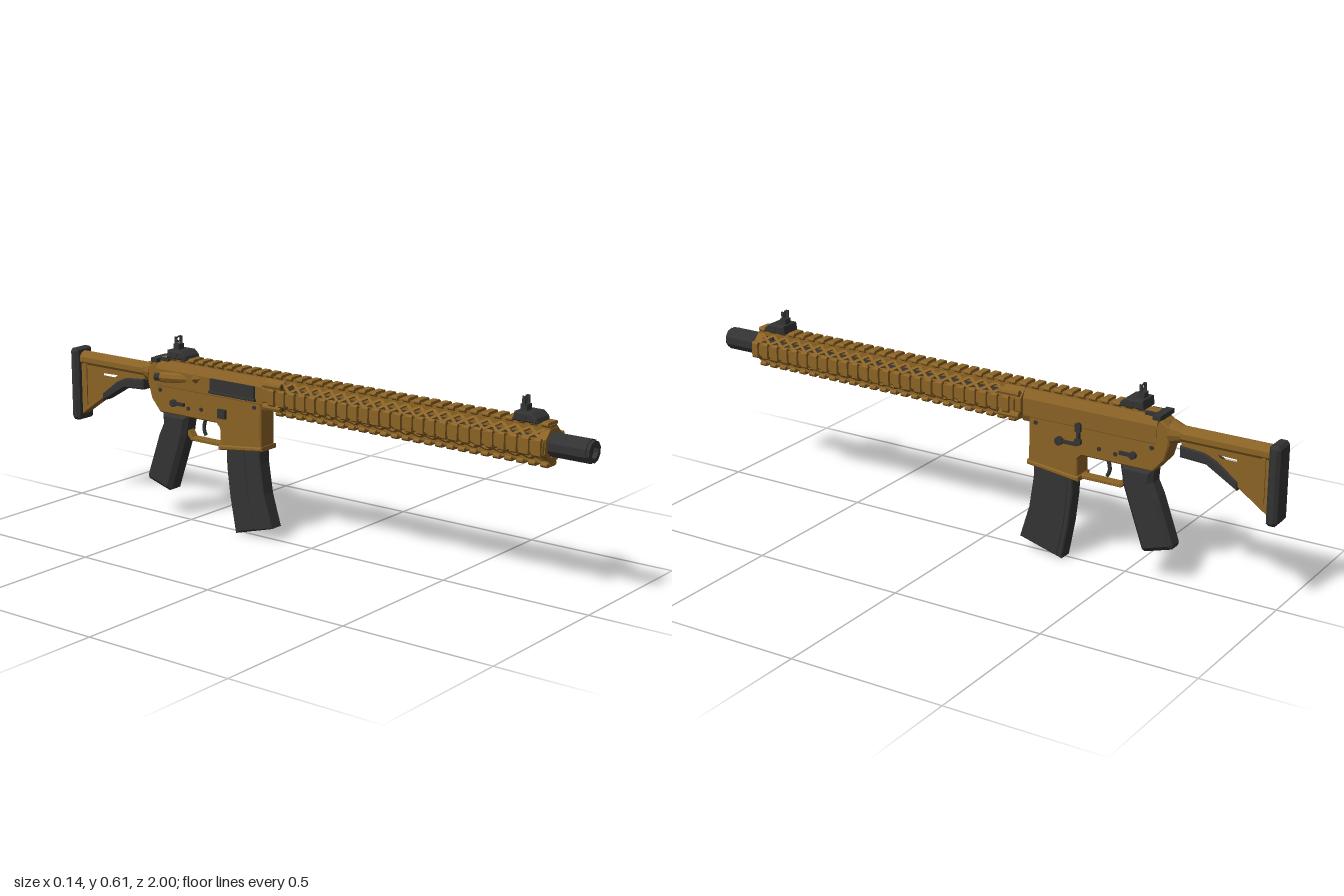
import * as THREE from 'three';
import { mergeGeometries } from 'three/addons/utils/BufferGeometryUtils.js';

const tan = new THREE.MeshStandardMaterial({ color: 0x8a6225, flatShading: true });
const dark = new THREE.MeshStandardMaterial({ color: 0x333333, flatShading: true });
const AXIS = 0.485; // height of the bore line

export function createModel() {
  const model = new THREE.Group();
  const add = (name, geo, mat, x = 0, y = 0, z = 0, parent = model) => {
    const m = new THREE.Mesh(geo, mat);
    m.name = name;
    m.position.set(x, y, z);
    parent.add(m);
    return m;
  };
  const box = (w, h, d) => new THREE.BoxGeometry(w, h, d);
  const outline = pts => pts.map(([a, b]) => new THREE.Vector2(a, b));

  // Side profile given as [z, y], extruded across x
  const side = (pts, width, bevel = 0.004, hole) => {
    const flip = p => outline(p.map(([z, y]) => [-z, y]));
    const s = new THREE.Shape(flip(pts));
    if (hole) s.holes.push(new THREE.Path(flip(hole)));
    const g = new THREE.ExtrudeGeometry(s, {
      depth: width - 2 * bevel, bevelEnabled: bevel > 0, bevelSize: bevel,
      bevelThickness: bevel, bevelOffset: -bevel, bevelSegments: 1, curveSegments: 8,
    });
    return g.translate(0, 0, -width / 2 + bevel).rotateY(Math.PI / 2);
  };
  // Cross-section given as [x, y], extruded from z0 to z1
  const along = (pts, z0, z1, hole) => {
    const s = new THREE.Shape(outline(pts));
    if (hole) s.holes.push(new THREE.Path(outline(hole)));
    return new THREE.ExtrudeGeometry(s, { depth: z1 - z0, bevelEnabled: false }).translate(0, 0, z0);
  };
  const ring = (r, n) => Array.from({ length: n }, (_, i) => {
    const a = (i + 0.5) * 2 * Math.PI / n;
    return [r * Math.cos(a), r * Math.sin(a)];
  });
  const rodZ = (r0, r1, z0, z1, n = 12) =>
    new THREE.CylinderGeometry(r1, r0, z1 - z0, n).rotateX(Math.PI / 2).translate(0, 0, (z0 + z1) / 2);
  const rodX = (r, len, n = 10) => new THREE.CylinderGeometry(r, r, len, n).rotateZ(Math.PI / 2);
  const beam = (p, q, w, t) => {
    const a = new THREE.Vector3(...p), b = new THREE.Vector3(...q);
    const o = new THREE.Object3D();
    o.position.copy(a).add(b).multiplyScalar(0.5);
    o.up.set(a.x + b.x, a.y + b.y, 0).normalize();
    o.lookAt(b);
    o.updateMatrix();
    return box(w, t, a.distanceTo(b)).applyMatrix4(o.matrix);
  };

  // Barrel and muzzle device with a recessed bore
  add('barrel', rodZ(0.02, 0.02, -0.15, 0.9), dark, 0, AXIS);
  add('muzzle', along(ring(0.037, 10), 0.85, 0.99, ring(0.02, 10)), dark, 0, AXIS);
  add('muzzleRim', along(ring(0.033, 10), 0.99, 1.0, ring(0.02, 10)), dark, 0, AXIS);
  add('boreFloor', rodZ(0.021, 0.021, 0.9, 0.985), dark, 0, AXIS);

  // Handguard: four rail beds, toothed rails, crossed struts on the diagonals
  const handguard = new THREE.Group();
  handguard.name = 'handguard';
  handguard.position.y = AXIS;
  model.add(handguard);
  const tooth = [[-0.018, 0.044], [0.018, 0.044], [0.018, 0.05], [0.027, 0.057], [0.027, 0.061],
    [0.022, 0.066], [-0.022, 0.066], [-0.027, 0.061], [-0.027, 0.057], [-0.018, 0.05]];
  const beds = [], teeth = [], struts = [];
  const pitch = 0.04;
  for (let k = 0; k < 4; k++) {
    const turn = k * Math.PI / 2;
    beds.push(box(0.044, 0.012, 1.0).translate(0, 0.045, 0.365).rotateZ(turn));
    beds.push(box(0.034, 0.008, 1.0).translate(0, 0.053, 0.365).rotateZ(turn));
    for (let i = 0; i < 25; i++) {
      const z = 0.84 - i * pitch;
      teeth.push(along(tooth, z, z + 0.022).rotateZ(turn));
    }
  }
  for (const sx of [-1, 1]) for (const sy of [-1, 1]) for (let i = 0; i < 20; i++) {
    const z = -0.1 + i * 0.0475;
    const A = [sx * 0.02, sy * 0.045], B = [sx * 0.045, sy * 0.02];
    struts.push(beam([...A, z], [...B, z + 0.0475], 0.009, 0.006));
    struts.push(beam([...B, z], [...A, z + 0.0475], 0.009, 0.006));
  }
  add('railBeds', mergeGeometries(beds), tan, 0, 0, 0, handguard);
  add('railTeeth', mergeGeometries(teeth), tan, 0, 0, 0, handguard);
  add('latticeStruts', mergeGeometries(struts), tan, 0, 0, 0, handguard);
  add('frontRing', along(ring(0.052, 8), 0.84, 0.868, ring(0.039, 8)), tan, 0, 0, 0, handguard);
  add('rearCollar', along(ring(0.054, 8), -0.155, -0.085, ring(0.024, 8)), tan, 0, 0, 0, handguard);
  for (const sx of [-1, 1]) for (const sy of [-1, 1]) {
    add('clampBoss', rodZ(0.011, 0.011, -0.15, -0.08, 8), tan, sx * 0.047, sy * 0.035, 0, handguard);
    add('clampScrew', rodZ(0.005, 0.005, -0.08, -0.076, 6), dark, sx * 0.047, sy * 0.035, 0, handguard);
  }

  // Upper receiver with its own stretch of top rail
  const upper = [[-0.026, 0.43], [0.026, 0.43], [0.035, 0.45], [0.036, 0.505], [0.024, 0.532],
    [-0.024, 0.532], [-0.036, 0.505], [-0.035, 0.45]];
  add('upperReceiver', along(upper, -0.61, -0.15), tan);
  const topTeeth = [];
  for (let z = -0.16; z > -0.6; z -= pitch) topTeeth.push(along(tooth, z, z + 0.022));
  add('receiverRailTeeth', mergeGeometries(topTeeth), tan, 0, AXIS);
  add('receiverRailBed', box(0.034, 0.03, 0.46), tan, 0, 0.527, -0.37);
  add('ejectionPortCover', box(0.012, 0.04, 0.18), dark, -0.038, 0.485, -0.285);
  add('coverHinge', rodZ(0.005, 0.005, -0.38, -0.19, 6), dark, -0.042, 0.461);
  add('caseDeflector', new THREE.CylinderGeometry(0.004, 0.022, 0.025, 4).rotateZ(Math.PI / 2),
    tan, -0.042, 0.495, -0.44);
  const assist = new THREE.Group();
  assist.name = 'forwardAssist';
  assist.position.set(-0.04, AXIS, -0.53);
  assist.rotation.y = 0.4;
  model.add(assist);
  add('assistHousing', rodZ(0.017, 0.017, -0.045, 0.05, 8), tan, 0, 0, 0, assist);
  add('assistButton', rodZ(0.013, 0.013, -0.065, -0.045, 8), dark, 0, 0, 0, assist);
  add('chargingHandle', box(0.05, 0.016, 0.06), dark, 0, 0.533, -0.595);
  add('chargingHandleGrip', box(0.088, 0.014, 0.025), dark, 0, 0.533, -0.612);

  // Lower receiver, magazine well lip and trigger guard
  add('lowerReceiver', side([[-0.175, 0.455], [-0.175, 0.3], [-0.345, 0.28], [-0.345, 0.345], [-0.36, 0.36],
    [-0.60, 0.36], [-0.635, 0.40], [-0.65, 0.45], [-0.65, 0.505], [-0.62, 0.525], [-0.58, 0.455]], 0.068), tan);
  add('magazineWellLip', side([[-0.17, 0.31], [-0.17, 0.296], [-0.35, 0.274], [-0.35, 0.29]], 0.078), tan);
  add('triggerGuard', side([[-0.34, 0.29], [-0.34, 0.278], [-0.485, 0.278], [-0.51, 0.31], [-0.5, 0.32],
    [-0.478, 0.29]], 0.03, 0.002), tan);
  const curve = new THREE.QuadraticBezierCurve3(new THREE.Vector3(0, 0.365, -0.425),
    new THREE.Vector3(0, 0.325, -0.45), new THREE.Vector3(0, 0.3, -0.43));
  add('trigger', new THREE.TubeGeometry(curve, 6, 0.006, 6), dark);

  // Controls
  const lever = (name, x, y, z, len, tilt) => {
    const g = new THREE.Group();
    g.name = name;
    g.position.set(x, y, z);
    g.rotation.x = tilt;
    model.add(g);
    add('leverPivot', rodX(0.012, 0.016), dark, 0, 0, 0, g);
    add('leverArm', box(0.012, 0.01, len), dark, 0, 0, len / 2, g);
  };
  for (const s of [-1, 1]) lever('selector', s * 0.038, 0.4, -0.535, 0.045, 0);
  lever('boltRelease', 0.038, 0.405, -0.35, 0.06, -Math.PI / 2);
  add('boltReleasePaddle', box(0.014, 0.025, 0.018), dark, 0.038, 0.45, -0.35);
  add('magazineCatch', rodX(0.014, 0.018), dark, 0.037, 0.395, -0.285);
  add('magazineCatchArm', box(0.012, 0.01, 0.06), dark, 0.036, 0.395, -0.315);
  add('magazineButton', box(0.014, 0.03, 0.03), dark, -0.037, 0.395, -0.33);
  for (const [z, y] of [[-0.2, 0.435], [-0.42, 0.395], [-0.475, 0.39], [-0.595, 0.435]])
    add('crossPin', rodX(0.007, 0.074, 8), dark, 0, y, z);

  // Curved magazine with raised side panels
  add('magazine', side([[-0.19, 0.33], [-0.187, 0.25], [-0.172, 0.15], [-0.14, 0.045], [-0.29, 0.003],
    [-0.312, 0.12], [-0.324, 0.22], [-0.325, 0.33]], 0.052), dark);
  add('magazineSidePanel', side([[-0.25, 0.33], [-0.245, 0.22], [-0.232, 0.12], [-0.208, 0.03], [-0.275, 0.012],
    [-0.297, 0.12], [-0.308, 0.22], [-0.31, 0.33]], 0.057, 0.002), dark);

  // Raked pistol grip
  add('pistolGrip', side([[-0.485, 0.362], [-0.498, 0.29], [-0.565, 0.1], [-0.575, 0.095], [-0.665, 0.122],
    [-0.667, 0.135], [-0.615, 0.28], [-0.595, 0.32], [-0.598, 0.362]], 0.068, 0.014), dark);

  // Stock tube, stock and butt pad
  add('stockRing', rodZ(0.024, 0.038, -0.685, -0.645), tan, 0, AXIS);
  add('castleNut', rodZ(0.03, 0.03, -0.665, -0.635), dark, 0, AXIS);
  add('stockTube', rodZ(0.026, 0.026, -0.97, -0.675, 10), tan, 0, AXIS);
  add('stockBody', side([[-0.68, 0.49], [-0.97, 0.5], [-0.97, 0.29], [-0.866, 0.362], [-0.78, 0.43],
    [-0.68, 0.45]], 0.036, 0.004, [[-0.795, 0.453], [-0.865, 0.453], [-0.865, 0.438], [-0.81, 0.438]]), tan);
  add('stockRib', box(0.044, 0.16, 0.012), tan, 0, 0.41, -0.945);
  add('stockLever', side([[-0.68, 0.455], [-0.68, 0.42], [-0.765, 0.415], [-0.866, 0.355], [-0.866, 0.38],
    [-0.80, 0.43], [-0.76, 0.448]], 0.05), dark);
  add('buttPad', side([[-0.965, 0.515], [-0.972, 0.52], [-0.992, 0.52], [-1, 0.51], [-1, 0.285], [-0.992, 0.274],
    [-0.972, 0.274], [-0.965, 0.28]], 0.08, 0.01), dark);

  // Folding sights: low base, hinge block, forked post
  for (const [name, z, front] of [['frontSight', 0.79, true], ['rearSight', -0.525, false]]) {
    const g = new THREE.Group();
    g.name = name;
    g.position.set(0, 0.545, z);
    model.add(g);
    add('sightBase', side([[0.042, 0], [0.038, 0.014], [0.022, 0.027], [-0.036, 0.027], [-0.04, 0]], 0.074),
      dark, 0, 0, 0, g);
    add('sightClampScrew', rodX(0.007, 0.082, 8), dark, 0, 0.015, 0, g);
    add('sightHinge', box(0.026, 0.022, 0.022), dark, 0, 0.034, -0.018, g);
    for (const s of [-1, 1]) add('sightWing', box(0.004, 0.032, 0.01), dark, s * 0.012, 0.053, -0.018, g);
    if (front) add('sightPost', box(0.004, 0.04, 0.005), dark, 0, 0.05, -0.018, g);
    else add('sightAperture', new THREE.TorusGeometry(0.008, 0.0025, 5, 12), dark, 0, 0.06, -0.018, g);
  }
  return model;
}
